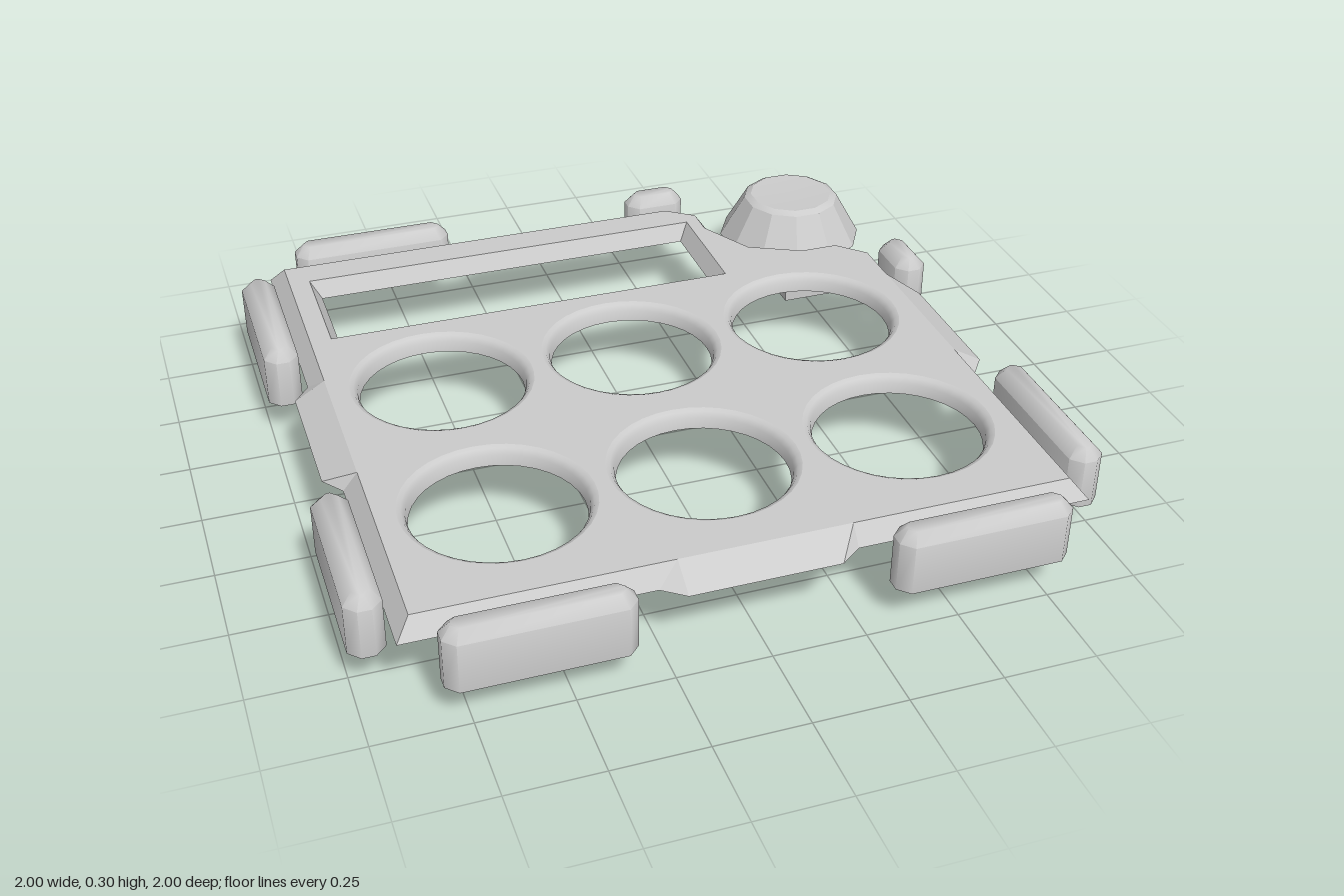
import * as THREE from 'three';
import { toCreasedNormals } from 'three/addons/utils/BufferGeometryUtils.js';

const material = new THREE.MeshStandardMaterial({ color: 0xcccccc, side: THREE.DoubleSide });
const TOP = 0.245, RIM = 0.195;

function part(name, geometry, parent) {
  const mesh = new THREE.Mesh(geometry, material);
  mesh.name = name;
  parent.add(mesh);
  return mesh;
}

// Skin between closed loops; each is { y, pts: [[x, z], ...] }, counter-clockwise from above
function loft(loops, cap = false, crease = 0.6) {
  const n = loops[0].pts.length, pos = [], idx = [];
  for (const { y, pts } of loops) for (const [x, z] of pts) pos.push(x, y, z);
  for (let r = 0; r < loops.length - 1; r++) {
    for (let i = 0; i < n; i++) {
      const a = r * n + i, b = r * n + (i + 1) % n;
      idx.push(a, b, b + n, a, b + n, a + n);
    }
  }
  if (cap) {
    const s = (loops.length - 1) * n;
    for (let i = 1; i < n - 1; i++) idx.push(s, s + i, s + i + 1);
  }
  const g = new THREE.BufferGeometry();
  g.setAttribute('position', new THREE.Float32BufferAttribute(pos, 3));
  g.setIndex(idx);
  return toCreasedNormals(g, crease);
}

const circle = (cx, cz, r, n = 36) => Array.from({ length: n }, (_, i) => {
  const t = (i / n) * Math.PI * 2;
  return [cx + r * Math.cos(t), cz - r * Math.sin(t)];
});

const rect = (x0, x1, z0, z1) => [[x0, z1], [x1, z1], [x1, z0], [x0, z0]];

// Rectangle with chamfered corners, half sizes hx and hz
const chamfered = (hx, hz, c) => [
  [-hx + c, hz], [hx - c, hz], [hx, hz - c], [hx, -hz + c],
  [hx - c, -hz], [-hx + c, -hz], [-hx, -hz + c], [-hx, hz - c],
];

const flip = (pts) => pts.map(([x, z]) => new THREE.Vector2(x, -z));

function addPlate(group) {
  const plate = new THREE.Group();
  plate.name = 'plate';
  group.add(plate);

  // Each row: rim x, rim z, top edge x, top edge z
  const e = 0.86;
  const outline = [
    [-0.9, -0.9, -e, -e], [-0.26, -0.9, -0.26, -e], [-0.2, -0.945, -0.2, -e],
    [0.2, -0.945, 0.2, -e], [0.26, -0.905, 0.26, -e], [0.4, -0.905, 0.36, -e],
    [0.475, -0.82, 0.44, -0.8], [0.475, -0.72, 0.44, -0.71], [0.56, -0.57, 0.525, -0.55],
    [0.685, -0.51, 0.675, -0.475], [0.81, -0.51, 0.785, -0.475], [0.9, -0.42, e, -0.4],
    [0.9, -0.26, e, -0.26], [0.945, -0.2, e, -0.2], [0.945, 0.2, e, 0.2],
    [0.9, 0.26, e, 0.26], [0.9, 0.9, e, e], [0.26, 0.9, 0.26, e],
    [0.2, 0.945, 0.2, e], [-0.2, 0.945, -0.2, e], [-0.26, 0.9, -0.26, e],
    [-0.9, 0.9, -e, e], [-0.9, 0.26, -e, 0.26], [-0.945, 0.2, -e, 0.2],
    [-0.945, -0.2, -e, -0.2], [-0.9, -0.26, -e, -0.26],
  ].reverse();
  const rim = outline.map((p) => [p[0], p[1]]);
  const edge = outline.map((p) => [p[2], p[3]]);
  part('plateBevel', loft([{ y: RIM, pts: rim }, { y: TOP, pts: edge }], false, 0.3), plate);

  const shape = new THREE.Shape(flip(edge));
  const cut = (pts) => shape.holes.push(new THREE.Path(flip(pts)));

  // Six round openings with a rolled lip
  for (const cz of [-0.105, 0.495]) {
    for (const cx of [-0.55, 0, 0.55]) {
      const lip = [[0.255, TOP], [0.243, 0.24], [0.233, 0.225], [0.228, RIM]];
      cut(circle(cx, cz, lip[0][0]));
      part('roundOpening', loft(lip.map(([r, y]) => ({ y, pts: circle(cx, cz, r) })), false, 1), plate);
    }
  }

  // Rectangular window with sloped sides
  const windowTop = rect(-0.8, 0.4, -0.765, -0.415);
  cut(windowTop);
  part('window', loft([
    { y: TOP, pts: windowTop },
    { y: RIM, pts: rect(-0.77, 0.37, -0.737, -0.447) },
  ]), plate);

  const top = new THREE.ShapeGeometry(shape);
  top.rotateX(-Math.PI / 2);
  top.translate(0, TOP, 0);
  part('plateTop', top, plate);
}

// Upright bumper, open underneath, with softened top and corners
function addBumper(group, cx, cz, length, alongX) {
  const h = length / 2, w = 0.048, c = 0.03;
  const ring = (y, inset) => ({
    y,
    pts: alongX
      ? chamfered(h - inset, w - inset, c - inset * 0.5)
      : chamfered(w - inset, h - inset, c - inset * 0.5),
  });
  const g = loft([ring(0.1, 0), ring(0.24, 0), ring(0.27, 0.026)], true, 0.9);
  part('bumper', g, group).position.set(cx, 0, cz);
}

function addKnob(group) {
  const knob = new THREE.Group();
  knob.name = 'knob';
  knob.position.set(0.75, 0, -0.76);
  group.add(knob);

  // Twelve-sided cap over a six-sided stem
  const profile = [[0.222, 0.155], [0.148, 0.285], [0.128, 0.296], [0, 0.29]]
    .map(([r, y]) => new THREE.Vector2(r, y));
  const cap = toCreasedNormals(new THREE.LatheGeometry(profile, 12, Math.PI / 12), 0.4);
  part('knobCap', cap, knob);

  const stem = new THREE.CylinderGeometry(0.13, 0.13, 0.2, 6, 1, false, Math.PI / 6);
  part('knobStem', stem, knob).position.y = 0.1;

  // Arm joining the stem to the plate
  const arm = new THREE.BoxGeometry(0.225, 0.055, 0.245);
  part('knobArm', arm, group).position.set(0.722, 0.128, -0.558);
}

export function createModel() {
  const group = new THREE.Group();
  group.name = 'panel';
  addPlate(group);

  const d = 0.952, m = 0.572, long = 0.475, short = 0.18;
  for (const s of [-1, 1]) {
    addBumper(group, s * m, d, long, true);
    addBumper(group, -d, s * m, long, false);
  }
  addBumper(group, d, m, long, false);
  addBumper(group, -m, -d, long, true);
  addBumper(group, 0.35, -d, short, true);
  addBumper(group, d, -0.35, short, false);

  addKnob(group);
  return group;
}
